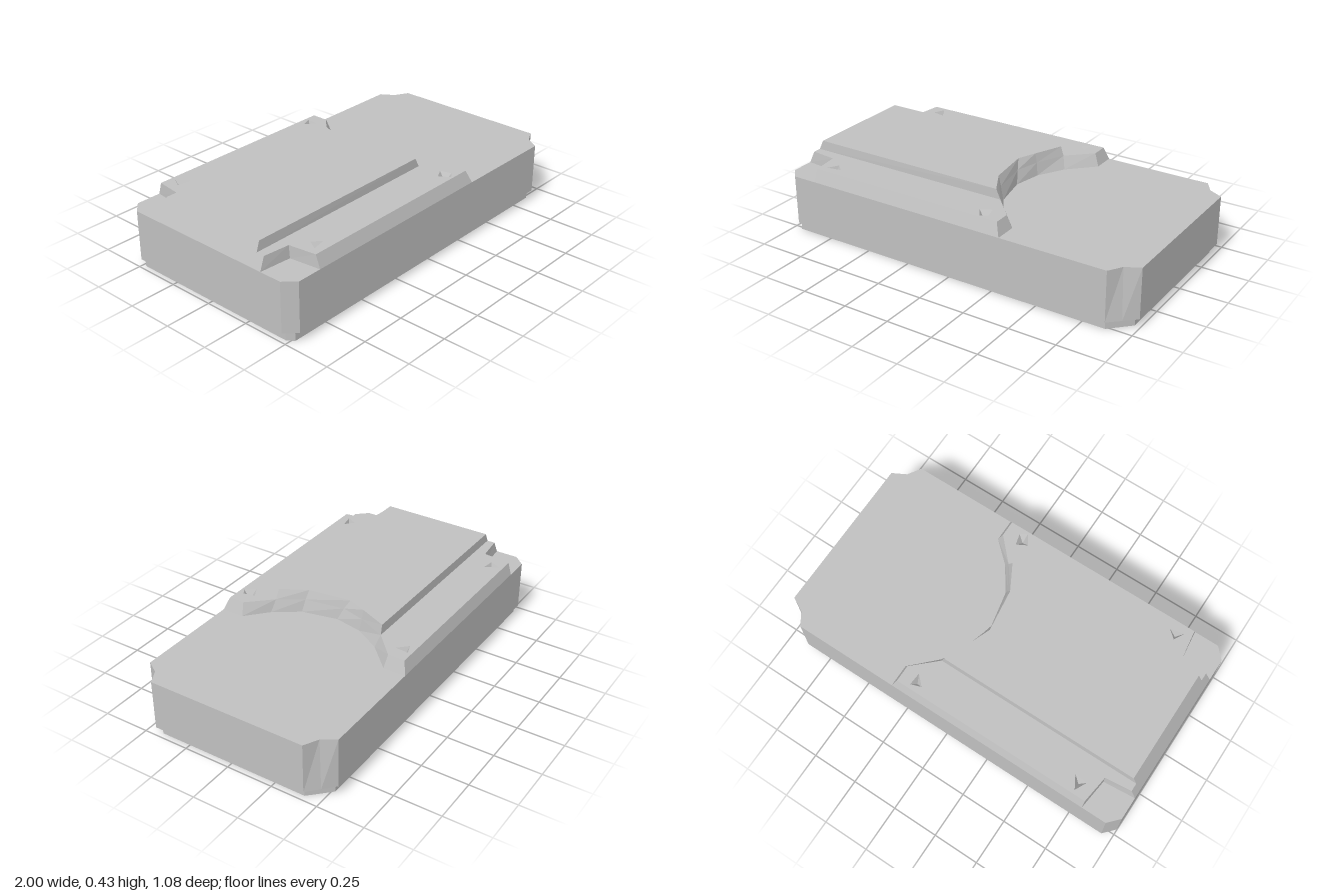
import * as THREE from 'three';
import { mergeGeometries } from 'three/addons/utils/BufferGeometryUtils.js';

const grey = new THREE.MeshStandardMaterial({ color: 0xc0c0c0, flatShading: true });
grey.name = 'plain grey';

// Triangle soup to geometry
function soup(tris) {
  const g = new THREE.BufferGeometry();
  g.setAttribute('position', new THREE.Float32BufferAttribute(tris.flat(2), 3));
  g.computeVertexNormals();
  return g;
}

// Flat face over an outline of [x, z] points, facing up or down
function cap(points, y, up = true, holes = []) {
  const v = (p) => new THREE.Vector2(p[0], -p[1]);
  const outline = points.map(v), inner = holes.map((h) => h.map(v).reverse());
  const all = [outline, ...inner].flat();
  const tris = THREE.ShapeUtils.triangulateShape(outline, inner).map((t) => {
    const [a, b, c] = t.map((i) => all[i]);
    const ccw = (b.x - a.x) * (c.y - a.y) - (b.y - a.y) * (c.x - a.x) > 0;
    return (ccw === up ? [a, b, c] : [a, c, b]).map((p) => [p.x, y, -p.y]);
  });
  return soup(tris);
}

// Slab lofted between a lower and an upper outline (anticlockwise from above)
function slab(name, low, y0, high, y1, holes = []) {
  const walls = [];
  low.forEach((p, i) => {
    const j = (i + 1) % low.length;
    const a = [p[0], y0, p[1]], b = [low[j][0], y0, low[j][1]];
    const c = [high[j][0], y1, high[j][1]], d = [high[i][0], y1, high[i][1]];
    walls.push([a, b, c], [a, c, d]);
  });
  const parts = [soup(walls), cap(low, y0, false), cap(high, y1, true, holes)];
  const mesh = new THREE.Mesh(mergeGeometries(parts), grey);
  mesh.name = name;
  return mesh;
}

// Mirror the +z half of an outline to close it
const mirrored = (half) => [...half, ...half.map(([x, z]) => [x, -z]).reverse()];

export function createModel() {
  const model = new THREE.Group();
  model.name = 'steppedBlock';

  // Inset plinth
  const foot = mirrored([[-0.975, 0.48], [-0.95, 0.515], [0.87, 0.515], [0.97, 0.415]]);
  model.add(slab('plinth', foot, 0, foot, 0.055));

  // Main body with chamfered corners
  const hull = (x, z) => mirrored([[-1, 0.48], [-0.945, 0.54], [0.88, 0.54], [x, z], [1, 0.43]]);
  model.add(slab('body', hull(0.94, 0.485), 0.05, hull(0.925, 0.47), 0.317));

  // Lower deck with side rails, corner notches and a concave end
  const deckLow = [
    [-1, 0.36], [-0.83, 0.375], [-0.81, 0.54], [0.31, 0.54], [0.31, 0.42], [0.2, 0.32], [0.11, 0.19],
    [0.07, 0], [0.1, -0.15], [0.18, -0.29], [0.31, -0.42], [0.31, -0.54], [-0.81, -0.54], [-0.83, -0.375], [-1, -0.36],
  ];
  const deckHigh = [
    [-0.97, 0.355], [-0.83, 0.37], [-0.81, 0.515], [0.285, 0.515], [0.285, 0.43], [0.17, 0.308], [0.09, 0.18],
    [0.055, -0.03], [0.09, -0.16], [0.16, -0.312], [0.285, -0.43], [0.285, -0.52], [-0.81, -0.52], [-0.83, -0.37], [-0.97, -0.355],
  ];
  const pits = [
    [[-0.775, 0.475], [-0.7, 0.46], [-0.745, 0.42]],
    [[0.145, 0.45], [0.18, 0.505], [0.215, 0.48], [0.2, 0.42]],
    [[-0.77, -0.44], [-0.7, -0.43], [-0.74, -0.5]],
    [[0.165, -0.48], [0.215, -0.43], [0.22, -0.5]],
  ];
  model.add(slab('lowerDeck', deckLow, 0.317, deckHigh, 0.383, pits));

  // Raised centre deck
  const topLow = [[-0.97, 0.31], ...deckHigh.slice(5, 10), [-0.97, -0.312]];
  const topHigh = [[-0.948, 0.306], [0.145, 0.306], [0.07, 0.17], [0.04, -0.06], [0.08, -0.16], [0.145, -0.31], [-0.948, -0.31]];
  model.add(slab('upperDeck', topLow, 0.383, topHigh, 0.433));

  // Pointed sockets in the rails
  pits.forEach((pit) => {
    const n = pit.length;
    const tip = [pit.reduce((s, p) => s + p[0], 0) / n, 0.34, pit.reduce((s, p) => s + p[1], 0) / n];
    const at = (p) => [p[0], 0.383, p[1]];
    const socket = new THREE.Mesh(soup(pit.map((p, i) => [at(p), at(pit[(i + 1) % n]), tip])), grey);
    socket.name = 'railSocket';
    model.add(socket);
  });

  return model;
}
